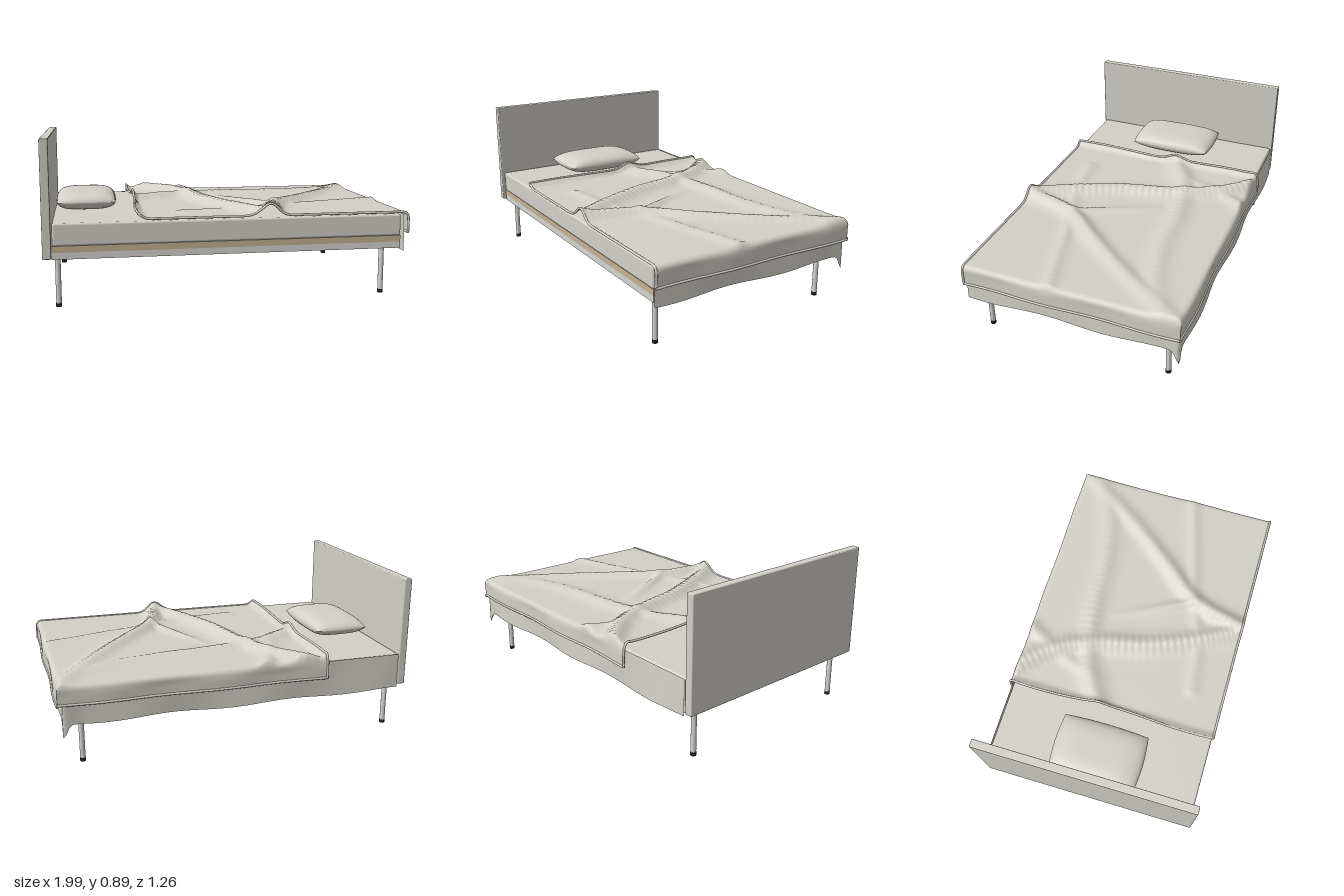
import * as THREE from 'three';
import { RoundedBoxGeometry } from 'three/addons/geometries/RoundedBoxGeometry.js';

const mat = (name, color, side = THREE.FrontSide) => {
  const m = new THREE.MeshStandardMaterial({ color, side });
  m.name = name;
  return m;
};

// Smooth surface from a rule fn(u, v) -> [x, y, z], u and v in 0..1
function grid(nu, nv, fn) {
  const pos = [], idx = [];
  for (let j = 0; j <= nv; j++)
    for (let i = 0; i <= nu; i++) {
      pos.push(...fn(i / nu, j / nv));
      if (i < nu && j < nv) {
        const a = j * (nu + 1) + i, b = a + nu + 1;
        idx.push(a, a + 1, b + 1, a, b + 1, b);
      }
    }
  const g = new THREE.BufferGeometry();
  g.setAttribute('position', new THREE.Float32BufferAttribute(pos, 3));
  g.setIndex(idx);
  g.computeVertexNormals();
  return g;
}

// Folds a length s over an edge of radius r: returns [along, drop]
function fold(s, edge, r) {
  const d = s - (edge - r), arc = r * Math.PI / 2;
  if (d <= 0) return [s, 0];
  if (d < arc) return [edge - r + r * Math.sin(d / r), r * (1 - Math.cos(d / r))];
  return [edge, r + d - arc];
}

// Blanket wrinkles: points on the floor plan, width, height at start and end
const wrinkles = [
  { p: [[-0.44, -0.66], [-0.24, -0.44], [-0.13, -0.2], [-0.05, 0.12], [0.08, 0.42], [0.2, 0.64]], w: 0.055, a: 0.045, b: 0.045 },
  { p: [[0.96, -0.58], [0.72, -0.22], [0.48, 0.08], [0.3, 0.3], [0.2, 0.64]], w: 0.05, a: 0.015, b: 0.055 },
  { p: [[-0.5, -0.08], [-0.25, -0.22], [0.1, -0.29], [0.4, -0.31], [0.7, -0.38], [0.97, -0.52]], w: 0.06, a: 0.035, b: 0.012 },
  { p: [[-0.25, 0.42], [0.05, 0.38], [0.3, 0.29], [0.6, 0.21], [0.96, 0.11]], w: 0.04, a: 0.012, b: 0.014 },
  { p: [[0.06, -0.16], [0.17, 0.06], [0.29, 0.3]], w: 0.03, a: 0.004, b: 0.03 },
  { p: [[-0.14, -0.62], [-0.24, -0.42], [-0.36, -0.1]], w: 0.045, a: 0.025, b: 0.01 },
].map(({ p, ...rest }) => ({
  ...rest,
  pts: new THREE.CatmullRomCurve3(p.map(([x, z]) => new THREE.Vector3(x, 0, z))).getPoints(40),
}));

function wrinkleHeight(x, z) {
  let sum = 0;
  for (const { pts, w, a, b } of wrinkles) {
    let best = Infinity, at = 0;
    pts.forEach((p, i) => {
      const d = (p.x - x) ** 2 + (p.z - z) ** 2;
      if (d < best) { best = d; at = i / 40; }
    });
    const h = (a + (b - a) * at) * Math.exp(-best / (w * w));
    sum += h * h;
  }
  return Math.sqrt(sum);
}

// Blanket: lies on the mattress, folds over the foot and the back
function blanketPoint(u, v) {
  const [x, dropX] = fold(-0.5 + u * 1.58, 0.98, 0.03);
  const [t, dropZ] = fold(-0.615 + v * 1.33, 0.622, 0.025);
  const z = -t;
  const drop = Math.max(dropX, dropZ);
  const curl = Math.exp(-(((x + 0.5) / 0.022) ** 2));
  const flat = 1 - Math.min(1, drop / 0.03);
  const sway = Math.min(1, drop / 0.05);
  return [
    x + 0.01 * curl * Math.sin(z * 7 + 1.5) + (dropX > 0 ? 0.005 * sway * Math.sin(z * 10) : 0),
    0.468 + wrinkleHeight(x, z) * flat + 0.028 * curl * flat - drop,
    z - (dropZ > 0 ? 0.006 * sway * Math.cos(x * 10 - 1) : 0),
  ];
}

// Sheet skirt: hangs along the back, round the corner and across the foot
function skirtPoint(u, v) {
  const back = 1.905, foot = 1.22;
  const s = u * (back + foot);
  const onBack = s < back;
  const toCorner = Math.abs(s - back);
  const tail = 0.075 * Math.exp(-((toCorner / 0.025) ** 2));
  const wave = 0.009 * Math.sin(s * 9) * Math.min(1, toCorner / 0.1) * v;
  const bottom = 0.252 + 0.006 * Math.sin(s * 9.5 + 1) - tail;
  const y = 0.453 + (bottom - 0.453) * v;
  return onBack
    ? [-0.95 + s, y, -0.609 - wave - 0.002 * v]
    : [0.955 + wave * 0.5 + 0.004 * v, y, -0.609 + s - back];
}

// One half of the pillow, dir = 1 for the top and -1 for the bottom
const pillowPoint = (dir) => (u, v) => {
  const a = Math.sin((u - 0.5) * Math.PI), b = Math.sin((v - 0.5) * Math.PI) * dir;
  const puff = Math.sqrt(Math.max(0, (1 - a ** 4) * (1 - b ** 4)));
  return [
    -0.77 + a * 0.17 * (1 - 0.06 * b * b),
    0.508 + dir * 0.054 * puff,
    0.01 - b * 0.262 * (1 - 0.05 * a * a),
  ];
};

export function createModel() {
  const group = new THREE.Group();
  const fabric = mat('warm grey fabric', 0xd2d0c8);
  const cloth = mat('warm grey cloth', 0xd2d0c8, THREE.DoubleSide);
  const wood = mat('tan wood', 0xc2b196);
  const metal = mat('pale metal', 0xd6d5d0);
  const rubber = mat('black rubber', 0x222222);

  const add = (name, geometry, material, x = 0, y = 0, z = 0) => {
    const mesh = new THREE.Mesh(geometry, material);
    mesh.name = name;
    mesh.position.set(x, y, z);
    group.add(mesh);
    return mesh;
  };

  // Headboard, mattress and wooden base
  add('headboard', new RoundedBoxGeometry(0.045, 0.62, 1.235, 3, 0.006), fabric, -0.9775, 0.58, 0.0075);
  add('mattress', new RoundedBoxGeometry(1.89, 0.12, 1.212, 4, 0.012), fabric, -0.005, 0.395, 0.004);
  add('bedBase', new THREE.BoxGeometry(1.895, 0.035, 1.2), wood, -0.0075, 0.318, 0.005);

  // Rails under the base
  for (const side of [-1, 1]) {
    add('sideRail', new THREE.BoxGeometry(1.895, 0.036, 0.022), metal, -0.0075, 0.283, 0.005 + side * 0.589);
    add('endRail', new THREE.BoxGeometry(0.022, 0.036, 1.156), metal, -0.0075 + side * 0.9365, 0.283, 0.005);
  }

  // Legs with dark feet
  for (const x of [-0.925, 0.855])
    for (const z of [-0.52, 0.545]) {
      add('leg', new THREE.CylinderGeometry(0.0145, 0.0145, 0.28, 24), metal, x, 0.16, z);
      add('foot', new THREE.CylinderGeometry(0.0155, 0.0155, 0.02, 24), rubber, x, 0.01, z);
    }

  // Bedding
  add('sheetSkirt', grid(200, 8, skirtPoint), cloth);
  add('blanket', grid(150, 120, blanketPoint), cloth);
  add('pillowTop', grid(28, 28, pillowPoint(1)), fabric);
  add('pillowBottom', grid(28, 28, pillowPoint(-1)), fabric);

  // Rolled hem round the blanket
  const border = [];
  const corners = [[0, 0], [1, 0], [1, 1], [0, 1], [0, 0]];
  for (let c = 0; c < 4; c++)
    for (let i = 0; i < 60; i++) {
      const k = i / 60, [u0, v0] = corners[c], [u1, v1] = corners[c + 1];
      border.push(new THREE.Vector3(...blanketPoint(u0 + (u1 - u0) * k, v0 + (v1 - v0) * k)));
    }
  add('blanketHem', new THREE.TubeGeometry(new THREE.CatmullRomCurve3(border, true), 400, 0.007, 8, true), fabric);

  return group;
}
